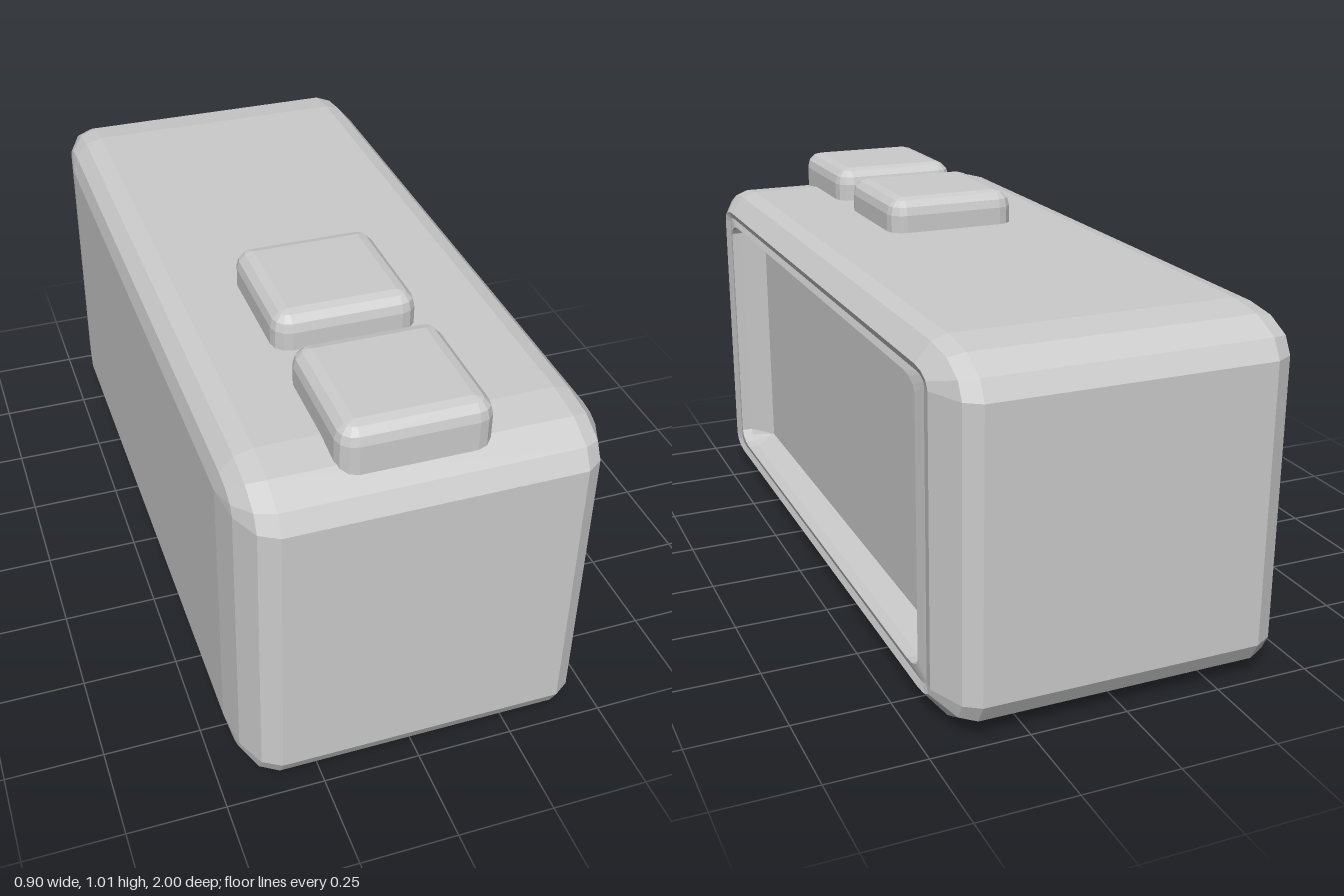
import * as THREE from 'three';

const material = new THREE.MeshStandardMaterial({ color: 0xcccccc, flatShading: true });
const STEPS = 3; // facets per rounded corner

// Rounded rectangle in the yz plane: a core rectangle grown by radii ry and rz
function ring(x, [y0, y1, z0, z1], ry, rz) {
  const points = [];
  const corners = [[y1, z1], [y0, z1], [y0, z0], [y1, z0]];
  corners.forEach(([y, z], c) => {
    for (let i = 0; i <= STEPS; i++) {
      const a = (c + i / STEPS) * Math.PI / 2;
      points.push(new THREE.Vector3(x, y + ry * Math.cos(a), z + rz * Math.sin(a)));
    }
  });
  return points;
}

// Skin consecutive rings and close both ends
function loft(rings) {
  const pos = [];
  const tri = (...pts) => pts.forEach((p) => pos.push(p.x, p.y, p.z));
  const n = rings[0].length;
  for (let r = 0; r < rings.length - 1; r++) {
    const a = rings[r], b = rings[r + 1];
    for (let i = 0; i < n; i++) {
      const j = (i + 1) % n;
      tri(a[i], a[j], b[j]);
      tri(a[i], b[j], b[i]);
    }
  }
  const first = rings[0], last = rings[rings.length - 1];
  for (let i = 1; i < n - 1; i++) {
    tri(first[0], first[i + 1], first[i]);
    tri(last[0], last[i], last[i + 1]);
  }
  const g = new THREE.BufferGeometry();
  g.setAttribute('position', new THREE.Float32BufferAttribute(pos, 3));
  g.computeVertexNormals();
  return g;
}

// Bevelled case with a shallow recess in its left side
function caseGeometry() {
  const core = [0.098, 0.825, -0.8, 0.8];
  const shell = [
    [-0.45, 0], [-0.4375, 0.5], [-0.4035, 0.866], [-0.357, 1],
    [0.37, 1], [0.41, 0.866], [0.45, 0.39],
  ].map(([x, s]) => ring(x, core, 0.097 * s, 0.2 * s));
  const opening = [0.133, 0.795, -0.725, 0.725];
  const recess = [
    ring(0.443, core, 0.019, 0.039),
    ring(0.45, opening, 0.033, 0.075),
    ring(0.42, opening, 0.033, 0.075),
    ring(0.365, [0.133, 0.795, -0.79, 0.725], 0, 0),
  ];
  return loft([...shell, ...recess]);
}

// Button with rounded top edge and upright corners, lofted upward
function buttonGeometry() {
  const h = 0.14, half = 0.185, r = 0.045;
  const core = [-half + r, half - r, -half + r, half - r];
  const profile = [[0, 0.85], [0.008, 1]];
  for (let i = 0; i <= STEPS; i++) {
    const a = (i / STEPS) * Math.PI / 2;
    profile.push([h - r + r * Math.sin(a), Math.cos(a)]);
  }
  return loft(profile.map(([x, s]) => ring(x, core, r * s, r * s))).rotateZ(Math.PI / 2);
}

export function createModel() {
  const model = new THREE.Group();
  model.name = 'boxWithButtons';

  const body = new THREE.Mesh(caseGeometry(), material);
  body.name = 'case';
  model.add(body);

  const geometry = buttonGeometry();
  [['frontButton', 0.745], ['rearButton', 0.285]].forEach(([name, z]) => {
    const button = new THREE.Mesh(geometry, material);
    button.name = name;
    button.position.set(-0.017, 0.875, z);
    model.add(button);
  });
  return model;
}
